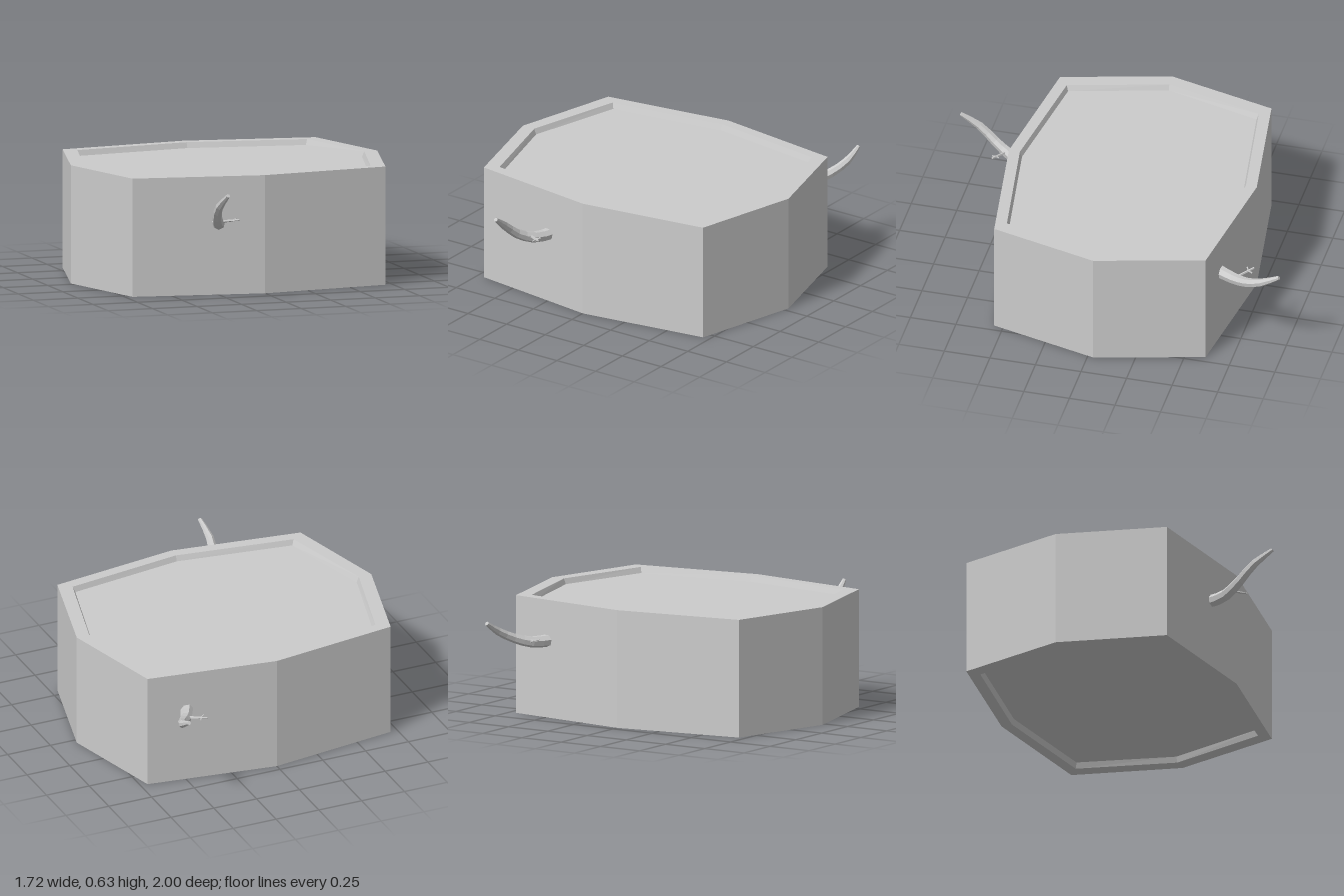
import * as THREE from 'three';

const material = new THREE.MeshStandardMaterial({ color: 0xcccccc, flatShading: true });

// Skin a series of closed rings (counter-clockwise about the direction of travel)
function loft(rings) {
  const pos = [];
  for (let r = 0; r < rings.length - 1; r++) {
    const p = rings[r], q = rings[r + 1], n = p.length;
    for (let i = 0; i < n; i++) {
      const j = (i + 1) % n;
      for (const [a, b, c] of [[p[i], p[j], q[j]], [p[i], q[j], q[i]]]) {
        if (a.equals(b) || b.equals(c) || a.equals(c)) continue;
        pos.push(...a.toArray(), ...b.toArray(), ...c.toArray());
      }
    }
  }
  const geo = new THREE.BufferGeometry();
  geo.setAttribute('position', new THREE.Float32BufferAttribute(pos, 3));
  geo.computeVertexNormals();
  return geo;
}

function part(name, geo) {
  const mesh = new THREE.Mesh(geo, material);
  mesh.name = name;
  return mesh;
}

// Irregular octagon: side point, corner and end point, mirrored about its centre
const CENTRE_Z = -0.03;
function octagon(side, cx, cz, end, y) {
  return [[side, 0], [cx, -cz], [0, -end], [-cx, -cz], [-side, 0], [-cx, cz], [0, end], [cx, cz]]
    .map(([x, z]) => new THREE.Vector3(x, y, z + CENTRE_Z));
}

// Tapered, closed branch along a smooth path; radii run evenly from root to tip
function branch(points, radii, sides, steps) {
  const curve = new THREE.CatmullRomCurve3(points.map((p) => new THREE.Vector3(...p)));
  const { normals, binormals } = curve.computeFrenetFrames(steps);
  const rings = [];
  for (let s = 0; s <= steps; s++) {
    const centre = curve.getPointAt(s / steps);
    const f = (s / steps) * (radii.length - 1);
    const k = Math.min(Math.floor(f), radii.length - 2);
    const radius = THREE.MathUtils.lerp(radii[k], radii[k + 1], f - k);
    const ring = Array.from({ length: sides }, (_, i) => {
      const a = (i / sides) * Math.PI * 2;
      return centre.clone()
        .addScaledVector(normals[s], Math.cos(a) * radius)
        .addScaledVector(binormals[s], Math.sin(a) * radius);
    });
    const cap = ring.map(() => centre.clone());
    if (s === 0) rings.push(cap);
    rings.push(ring);
    if (s === steps) rings.push(cap);
  }
  return loft(rings);
}

// Limb with one side twig that forks near its end
function limb(name, path, twigStart, twigEnd) {
  const group = new THREE.Group();
  group.name = name;
  group.add(part('limb', branch(path, [0.035, 0.031, 0.026, 0.022, 0.011], 7, 8)));
  group.add(part('twig', branch([twigStart, twigEnd], [0.008, 0.005], 5, 2)));
  const a = new THREE.Vector3(...twigStart), b = new THREE.Vector3(...twigEnd);
  const along = b.clone().sub(a).normalize();
  const across = new THREE.Vector3(along.z, 0, -along.x);
  const fork = a.clone().lerp(b, 0.7);
  for (const side of [-1, 1]) {
    const tip = fork.clone().addScaledVector(across, side * 0.025).addScaledVector(along, 0.008);
    tip.y += side * 0.006;
    group.add(part('forkTwig', branch([fork.toArray(), tip.toArray()], [0.005, 0.003], 5, 1)));
  }
  return group;
}

export function createModel() {
  const model = new THREE.Group();
  model.name = 'trunkSection';

  // Block with a shallow recess in both ends
  const H = 0.635, D = 0.03;
  const outer = (y) => octagon(0.86, 0.71, 0.58, 0.68, y);
  const rim = (y) => octagon(0.787, 0.645, 0.527, 0.62, y);
  const floor = (y) => octagon(0.775, 0.634, 0.517, 0.608, y);
  const middle = (y) => octagon(0, 0, 0, 0, y);
  model.add(part('block', loft([
    middle(D), floor(D), rim(0), outer(0), outer(H), rim(H), floor(H - D), middle(H - D),
  ])));

  // Limbs growing from the front and back
  model.add(limb('frontLimb', [
    [-0.245, 0.385, 0.59], [-0.27, 0.39, 0.69], [-0.315, 0.43, 0.79], [-0.338, 0.51, 0.89], [-0.323, 0.585, 0.995],
  ], [-0.28, 0.41, 0.735], [-0.19, 0.423, 0.79]));
  model.add(limb('backLimb', [
    [0.485, 0.415, -0.62], [0.535, 0.415, -0.72], [0.595, 0.445, -0.81], [0.635, 0.49, -0.9], [0.642, 0.543, -0.995],
  ], [0.54, 0.425, -0.73], [0.45, 0.44, -0.81]));

  return model;
}
